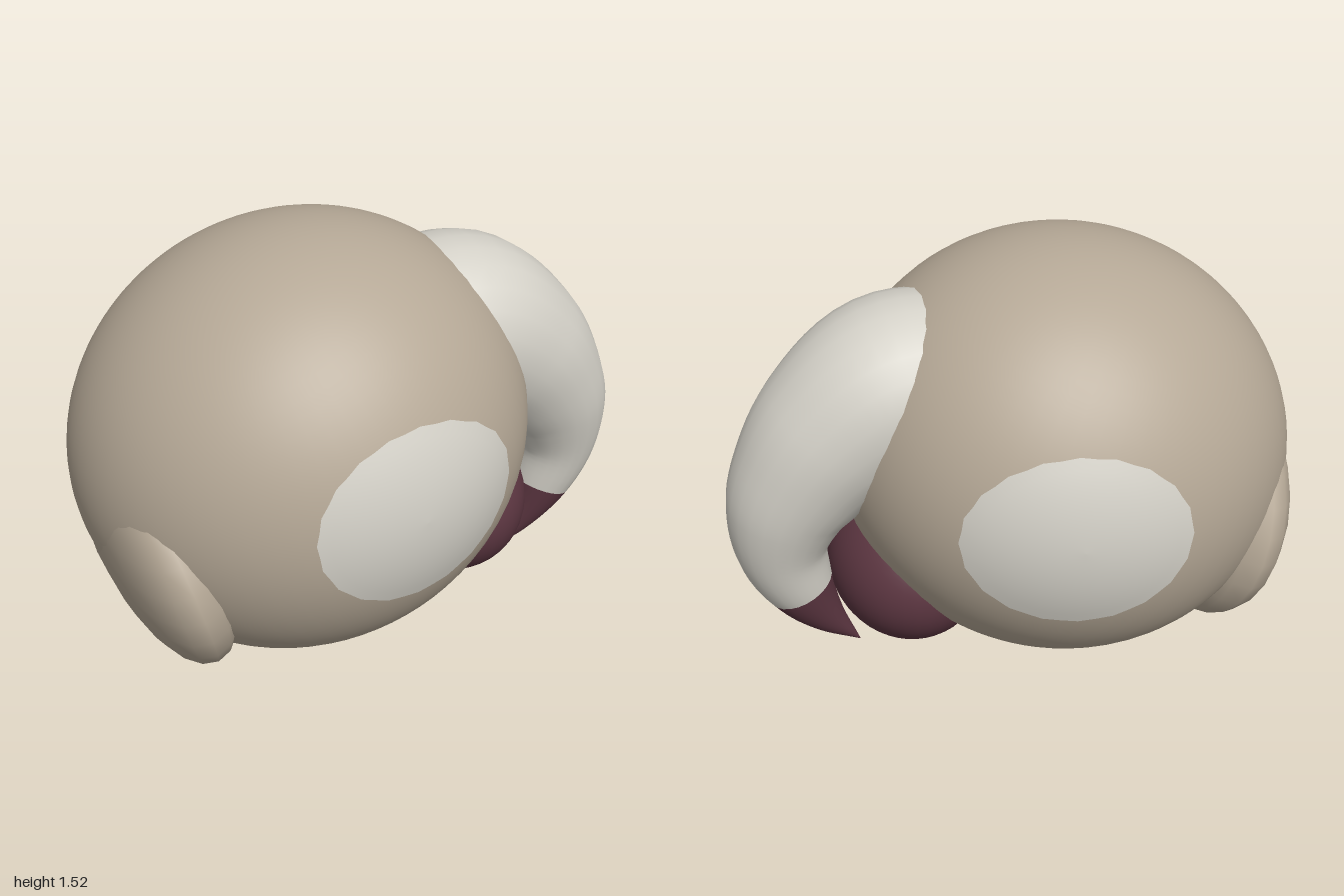
import * as THREE from 'three';

const BODY = { x: -0.2, y: 0.759, a: 0.805, b: 0.752, c: 0.746, tilt: 0.35 };

// Height of the body's surface in z above a point of the xy plane
function bodyZ(x, y) {
  const dx = x - BODY.x, dy = y - BODY.y, c = Math.cos(BODY.tilt), s = Math.sin(BODY.tilt);
  const u = (dx * c + dy * s) / BODY.a, v = (dy * c - dx * s) / BODY.b;
  return BODY.c * Math.sqrt(Math.max(0, 1 - u * u - v * v));
}

function makeGeometry(positions, indices) {
  const g = new THREE.BufferGeometry();
  g.setAttribute('position', new THREE.Float32BufferAttribute(positions, 3));
  g.setIndex(indices);
  g.computeVertexNormals();
  return g;
}

// Oval patch that follows the body's side; side is 1 or -1
function patchGeometry(side) {
  const seg = 20, rings = 8, pos = [], idx = [];
  for (let i = 0; i <= rings; i++) {
    for (let j = 0; j < seg * 2; j++) {
      const a = (j / seg) * Math.PI, f = i / rings;
      const scallop = i === rings && j % 2 ? 0.985 : 1;
      const x = -0.045 + 0.37 * f * scallop * Math.cos(a);
      const y = 0.785 + 0.312 * f * scallop * Math.sin(a);
      pos.push(x, y, side * (bodyZ(x, y) + 0.006));
    }
  }
  const n = seg * 2;
  for (let i = 0; i < rings; i++) {
    for (let j = 0; j < n; j++) {
      const k = (j + 1) % n;
      const p = i * n + j, q = i * n + k, r = p + n, s = q + n;
      if (side > 0) idx.push(p, r, s, p, s, q);
      else idx.push(p, s, r, p, q, s);
    }
  }
  return makeGeometry(pos, idx);
}

// Horn centre line: x, y and radius
const hornPath = new THREE.CatmullRomCurve3([
  [0.2, 1.07, 0.3], [0.4, 1.055, 0.317], [0.6, 0.92, 0.285], [0.72, 0.775, 0.245],
  [0.79, 0.64, 0.208], [0.812, 0.48, 0.163], [0.76, 0.305, 0.122],
  [0.68, 0.16, 0.07], [0.56, 0.015, 0.002],
].map((p) => new THREE.Vector3(...p)));

// Tapered tube along a stretch of the horn's centre line
function hornGeometry(t0, t1, steps) {
  const seg = 24, pos = [], idx = [];
  for (let i = 0; i <= steps; i++) {
    const t = t0 + ((t1 - t0) * i) / steps;
    const p = hornPath.getPoint(t), d = hornPath.getTangent(t);
    const len = Math.hypot(d.x, d.y), nx = -d.y / len, ny = d.x / len;
    const r = Math.max(p.z, 0.001);
    for (let j = 0; j < seg; j++) {
      const a = (j / seg) * Math.PI * 2, n = r * Math.cos(a);
      pos.push(p.x + nx * n, p.y + ny * n, r * Math.sin(a));
    }
  }
  for (let i = 0; i < steps; i++) {
    for (let j = 0; j < seg; j++) {
      const a = i * seg + j, b = i * seg + ((j + 1) % seg);
      idx.push(a, b, a + seg, b, b + seg, a + seg);
    }
  }
  return makeGeometry(pos, idx);
}

export function createModel() {
  const model = new THREE.Group();
  const material = (name, color) => {
    const m = new THREE.MeshStandardMaterial({ color });
    m.name = name;
    return m;
  };
  const tan = material('tan', 0xb5a896);
  const ivory = material('ivory', 0xd4d1c8);
  const maroon = material('maroon', 0x5c3641);

  const add = (name, geometry, mat) => {
    const mesh = new THREE.Mesh(geometry, mat);
    mesh.name = name;
    model.add(mesh);
    return mesh;
  };
  const ellipsoid = (name, mat, centre, radii, tilt, w, h) => {
    const mesh = add(name, new THREE.SphereGeometry(1, w, h), mat);
    mesh.position.set(...centre);
    mesh.scale.set(...radii);
    mesh.rotation.z = tilt;
  };

  // Round body with a flattened lobe low on one end
  ellipsoid('body', tan, [BODY.x, BODY.y, 0], [BODY.a, BODY.b, BODY.c], BODY.tilt, 64, 48);
  ellipsoid('rearLobe', tan, [-0.74, 0.48, 0], [0.21, 0.45, 0.585], 0.262, 20, 14);

  // Dark ball tucked under the horn
  ellipsoid('underBall', maroon, [0.368, 0.36, 0], [0.285, 0.286, 0.342], 0, 40, 28);

  // Pale side patches
  add('frontPatch', patchGeometry(1), ivory);
  add('backPatch', patchGeometry(-1), ivory);

  // Curved horn with a dark tip
  const seam = 6 / 8;
  add('horn', hornGeometry(0, seam, 36), ivory);
  add('hornTip', hornGeometry(seam, 1, 14), maroon);

  return model;
}
